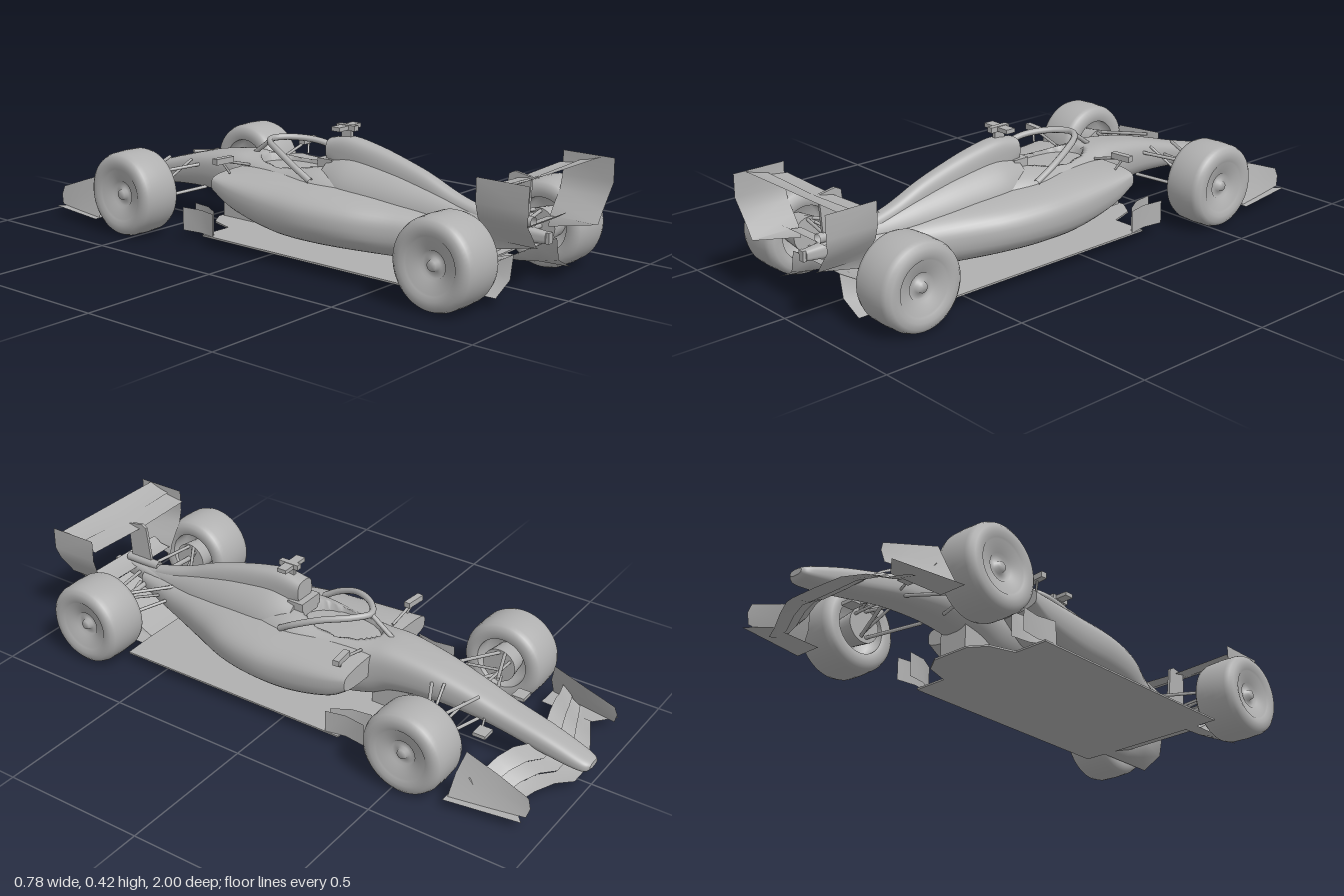
import * as THREE from 'three';

const grey = new THREE.MeshStandardMaterial({ color: 0xb0b0b0, side: THREE.DoubleSide });
grey.name = 'body grey';

const V = (x, y, z) => new THREE.Vector3(x, y, z);
const cubic = (a, b, c, d, t) =>
  0.5 * (2 * b + (c - a) * t + (2 * a - 5 * b + 4 * c - d) * t * t + (3 * b - a - 3 * c + d) * t * t * t);

function add(group, name, geometry, x = 0, y = 0, z = 0) {
  const mesh = new THREE.Mesh(geometry, grey);
  mesh.name = name;
  mesh.position.set(x, y, z);
  group.add(mesh);
  return mesh;
}

const box = (g, name, w, h, d, x, y, z) => add(g, name, new THREE.BoxGeometry(w, h, d), x, y, z);

// Straight bar between two points
function rod(g, name, a, b, r = 0.006) {
  const dir = b.clone().sub(a);
  const m = add(g, name, new THREE.CylinderGeometry(r, r, dir.length(), 8));
  m.position.copy(a).add(b).multiplyScalar(0.5);
  m.quaternion.setFromUnitVectors(V(0, 1, 0), dir.normalize());
  return m;
}

// Smooth hull along z; stations are [z, halfWidth, bottom, top, squareness, lowerWidthRatio]
function loft(stations, steps = 8, rule = null, segs = 48) {
  const rows = [];
  const last = stations.length - 1;
  for (let i = 0; i < last; i++) {
    const q = [Math.max(i - 1, 0), i, i + 1, Math.min(i + 2, last)].map(k => stations[k]);
    for (let s = 0; s < steps + (i === last - 1 ? 1 : 0); s++)
      rows.push(q[0].map((_, f) => cubic(q[0][f], q[1][f], q[2][f], q[3][f], s / steps)));
  }
  const pos = [], idx = [];
  const ring = ([z, w, yb, yt, n, low]) => {
    for (let j = 0; j < segs; j++) {
      const a = j / segs * Math.PI * 2, c = Math.cos(a), s = Math.sin(a);
      const p = V(Math.sign(c) * Math.abs(c) ** (2 / n) * w,
        (yb + yt) / 2 + Math.sign(s) * Math.abs(s) ** (2 / n) * (yt - yb) / 2, z);
      if (s < 0) p.x *= 1 + (low - 1) * -s;
      if (rule) rule(p, s);
      pos.push(p.x, p.y, p.z);
    }
  };
  rows.forEach(ring);
  for (let i = 0; i < rows.length - 1; i++)
    for (let j = 0; j < segs; j++) {
      const a = i * segs + j, b = i * segs + (j + 1) % segs;
      idx.push(a, b, b + segs, a, b + segs, a + segs);
    }
  [rows[0], rows[rows.length - 1]].forEach((r, end) => {
    const base = pos.length / 3;
    ring(r);
    pos.push(0, (r[2] + r[3]) / 2, r[0]);
    for (let j = 0; j < segs; j++) {
      const a = base + j, b = base + (j + 1) % segs;
      idx.push(base + segs, end ? a : b, end ? b : a);
    }
  });
  return surface(pos, idx);
}

function surface(pos, idx) {
  const g = new THREE.BufferGeometry();
  g.setAttribute('position', new THREE.Float32BufferAttribute(pos, 3));
  g.setIndex(idx);
  g.computeVertexNormals();
  return g;
}

// Thin sheet through equal-length rows of points
function sheet(rows) {
  const n = rows[0].length, idx = [];
  for (let i = 0; i < rows.length - 1; i++)
    for (let j = 0; j < n - 1; j++) {
      const a = i * n + j;
      idx.push(a, a + 1, a + n + 1, a, a + n + 1, a + n);
    }
  return surface(rows.flat(2), idx);
}

// Thin horizontal or upright plate cut from a 2D outline
function plate(outline, depth) {
  const shape = new THREE.Shape(outline.map(p => new THREE.Vector2(...p)));
  return new THREE.ExtrudeGeometry(shape, { depth, bevelEnabled: false });
}

// Tyre, dished rim and hub; positive side faces outward
function wheel(g, name, side, x, z, width) {
  const h = width / 2, r = 0.146;
  const outline = [[0.09, -h * 0.9], [0.105, -h * 0.97], [0.125, -h * 0.95], [0.138, -h * 0.82], [0.144, -h * 0.62],
    [r, 0], [0.144, h * 0.62], [0.138, h * 0.82], [0.125, h * 0.95], [0.105, h * 0.97], [0.09, h * 0.9]];
  const rim = [[0.094, -h * 0.9], [0.09, -h * 0.85], [0.084, -h * 0.2], [0.0, -h * 0.15]];
  const cover = [[0, h * 0.8], [0.016, h * 0.8], [0.02, h * 0.62], [0.04, h * 0.6], [0.045, h * 0.72], [0.085, h * 0.85], [0.094, h * 0.9]];
  const w = new THREE.Group();
  w.name = name;
  const lathe = pts => new THREE.LatheGeometry(pts.map(p => new THREE.Vector2(...p)), 56);
  add(w, 'tyre', lathe(outline));
  add(w, 'innerRim', lathe(rim));
  add(w, 'wheelCover', lathe(cover));
  add(w, 'brakeDrum', new THREE.CylinderGeometry(0.05, 0.06, h, 24), 0, -h * 0.6, 0);
  w.rotation.z = -side * Math.PI / 2;
  w.position.set(side * x, 0.148, z);
  g.add(w);
}

export function createModel() {
  const car = new THREE.Group();
  car.name = 'openWheelRacingCar';

  // Nose and tub, with the cockpit hollow pressed into the top
  const cockpit = (p, s) => {
    const e = ((p.z + 0.065) / 0.15) ** 2 + (p.x / 0.075) ** 2;
    if (s > 0 && e < 1) p.y -= 0.13 * Math.min(1, (1 - e) * 3);
  };
  add(car, 'noseAndTub', loft([
    [-1, 0.025, 0.07, 0.09, 2.6, 1], [-0.97, 0.043, 0.055, 0.105, 2.6, 1], [-0.85, 0.052, 0.07, 0.145, 3, 0.9],
    [-0.7, 0.058, 0.1, 0.185, 3, 0.9], [-0.6, 0.065, 0.115, 0.215, 3.2, 0.85], [-0.45, 0.08, 0.12, 0.255, 3.2, 0.75],
    [-0.3, 0.095, 0.1, 0.278, 3.2, 0.7], [-0.2, 0.11, 0.06, 0.275, 3, 0.8], [-0.05, 0.14, 0.04, 0.272, 2.8, 0.9],
    [0.1, 0.15, 0.04, 0.285, 2.6, 1], [0.25, 0.12, 0.04, 0.27, 2.4, 1]], 10, cockpit, 72));

  // Side bodywork, engine cover and spine
  add(car, 'sidepods', loft([
    [-0.235, 0.243, 0.17, 0.245, 4, 1], [-0.15, 0.25, 0.1, 0.25, 3.6, 0.85], [0, 0.255, 0.05, 0.25, 3.2, 0.8],
    [0.15, 0.25, 0.04, 0.245, 3, 0.8], [0.3, 0.215, 0.04, 0.235, 2.8, 0.85], [0.45, 0.145, 0.04, 0.22, 2.6, 0.9],
    [0.6, 0.085, 0.06, 0.205, 2.5, 0.9], [0.78, 0.045, 0.13, 0.2, 2.5, 1]]));
  add(car, 'engineCover', loft([
    [0.1, 0.1, 0.1, 0.31, 2, 1], [0.2, 0.115, 0.1, 0.33, 1.8, 1], [0.35, 0.1, 0.1, 0.31, 1.8, 1],
    [0.5, 0.075, 0.1, 0.275, 1.9, 1], [0.65, 0.045, 0.12, 0.235, 2, 1], [0.78, 0.025, 0.16, 0.215, 2, 1]]));
  add(car, 'airboxAndSpine', loft([
    [0.09, 0.04, 0.29, 0.375, 3, 0.8], [0.17, 0.042, 0.25, 0.387, 3, 1], [0.27, 0.041, 0.22, 0.372, 2.8, 1],
    [0.37, 0.038, 0.2, 0.347, 2.6, 1], [0.48, 0.034, 0.2, 0.312, 2.5, 1], [0.6, 0.03, 0.18, 0.262, 2.5, 1],
    [0.73, 0.025, 0.17, 0.225, 2.5, 1]]));
  box(car, 'headrest', 0.1, 0.05, 0.06, 0, 0.285, 0.095);
  box(car, 'cameraMast', 0.012, 0.05, 0.04, 0, 0.395, 0.15);
  box(car, 'cameraBar', 0.11, 0.014, 0.035, 0, 0.416, 0.145);
  box(car, 'cameraPod', 0.02, 0.018, 0.075, 0, 0.416, 0.15);

  // Cockpit hoop with its centre pillar
  const half = [[0.13, 0.25, 0.1], [0.132, 0.285, 0.04], [0.11, 0.322, -0.05], [0.055, 0.335, -0.14]];
  const hoop = [...half.map(p => V(...p)), V(0, 0.335, -0.175), ...half.map(p => V(-p[0], p[1], p[2])).reverse()];
  add(car, 'cockpitHoop', new THREE.TubeGeometry(new THREE.CatmullRomCurve3(hoop), 64, 0.011, 10));
  rod(car, 'hoopPillar', V(0, 0.335, -0.175), V(0, 0.265, -0.27), 0.008);

  // Floor
  const edge = [[0.07, -0.37], [0.13, -0.33], [0.16, -0.24], [0.285, -0.24], [0.287, 0.64], [0.16, 0.645]];
  const floor = plate([...edge, ...edge.map(p => [-p[0], p[1]]).reverse()], 0.006).rotateX(Math.PI / 2);
  add(car, 'floor', floor, 0, 0.041, 0);
  box(car, 'keel', 0.11, 0.09, 0.14, 0, 0.085, -0.29);

  // Diffuser ramp
  const ramp = [[0.64, 0.035, 0.16], [0.72, 0.06, 0.15], [0.8, 0.105, 0.135], [0.88, 0.15, 0.12]];
  add(car, 'diffuser', sheet(ramp.map(([z, y, x]) => [[-x, y, z], [x, y, z]])));

  // Rear wing planes, dipped slightly in the middle
  const wingPlane = (z0, y0, z1, y1) => sheet([0, 0.25, 0.5, 0.75, 1].map(t =>
    [-0.237, -0.12, 0, 0.12, 0.237].map(x =>
      [x, y0 + (y1 - y0) * t ** 1.4 - 0.008 * (1 - t) * (1 - Math.abs(x) / 0.237), z0 + (z1 - z0) * t])));
  add(car, 'rearWingMainPlane', wingPlane(0.81, 0.358, 0.9, 0.371));
  add(car, 'rearWingFlap', wingPlane(0.88, 0.374, 0.96, 0.396));
  add(car, 'beamWing', sheet([[0.82, 0.2], [0.86, 0.205], [0.89, 0.225]].map(([z, y]) => [[-0.16, y, z], [0.16, y, z]])));
  add(car, 'wingPylon', plate([[-0.76, 0.2], [-0.85, 0.2], [-0.86, 0.36], [-0.8, 0.37], [-0.78, 0.36]], 0.01)
    .rotateY(Math.PI / 2), -0.005, 0, 0);

  // Gearbox, exhaust and rear light
  add(car, 'gearbox', loft([[0.7, 0.04, 0.12, 0.21, 3, 1], [0.8, 0.028, 0.15, 0.21, 3, 1], [0.92, 0.016, 0.165, 0.2, 3, 1]]));
  add(car, 'exhaust', new THREE.CylinderGeometry(0.016, 0.016, 0.14, 20, 1, true).rotateX(Math.PI / 2), 0, 0.222, 0.8);
  box(car, 'rearLight', 0.022, 0.035, 0.012, 0, 0.183, 0.925);

  // Front wing: swept elements rising toward the ends
  const wingSpan = [0, 0.05, 0.12, 0.19, 0.25, 0.31];
  const frontElement = (t0, t1, lift) => s => sheet([0, 0.5, 1].map(k => wingSpan.map(x => {
    const t = t0 + (t1 - t0) * k, u = Math.max(0, x - 0.05) / 0.2;
    const lead = -0.965 + 0.095 * u, trail = -0.8 + 0.05 * u;
    const arch = 0.028 + 0.025 * Math.sin(Math.min(u, 1) * Math.PI);
    return [s * x, arch + t * t * 0.065 + lift, lead + (trail - lead) * t];
  })));
  const elements = [frontElement(0, 0.4, 0), frontElement(0.37, 0.7, 0.006), frontElement(0.67, 1, 0.012)];

  for (const s of [-1, 1]) {
    const P = (x, y, z) => V(s * x, y, z);
    wheel(car, 'frontWheel', s, 0.313, -0.535, 0.158);
    wheel(car, 'rearWheel', s, 0.298, 0.76, 0.17);

    elements.forEach((e, i) => add(car, 'frontWingElement' + (i + 1), e(s)));
    add(car, 'frontEndplate', sheet([
      [[s * 0.3, 0.035, -0.93], [s * 0.325, 0.035, -0.8], [s * 0.345, 0.035, -0.685]],
      [[s * 0.295, 0.07, -0.94], [s * 0.3, 0.09, -0.82], [s * 0.31, 0.105, -0.69]],
      [[s * 0.29, 0.1, -0.93], [s * 0.285, 0.14, -0.82], [s * 0.285, 0.178, -0.71]]]));
    add(car, 'frontFootplate', sheet([
      [[s * 0.26, 0.035, -0.87], [s * 0.27, 0.035, -0.68]], [[s * 0.33, 0.035, -0.93], [s * 0.368, 0.035, -0.68]]]));
    add(car, 'noseFin', new THREE.BoxGeometry(0.05, 0.012, 0.045), s * 0.125, 0.14, -0.675);
    rod(car, 'noseFinStalk', P(0.05, 0.14, -0.64), P(0.125, 0.14, -0.67), 0.004);

    // Rear wing end panels, curling inward at the foot
    const curl = [[0.237, 0.397, 0.82], [0.238, 0.32, 0.82], [0.225, 0.275, 0.82], [0.195, 0.235, 0.82], [0.172, 0.2, 0.82], [0.165, 0.165, 0.82]];
    add(car, 'rearEndplate', sheet(curl.map(([x, y, z], i) => [[s * x, y, z], [s * x, Math.max(y, 0.2), i > 1 ? 0.99 : 1]])));

    // Diffuser side wall and curved floor flick
    add(car, 'diffuserWall', sheet(ramp.map(([z, y, x]) =>
      [[s * x, y, z], [s * (x + 0.015), Math.max(0.036, y * 0.5), z], [s * 0.21, 0.036, z]])));

    // Floor fences
    add(car, 'floorFence', sheet([[0.27, -0.2], [0.235, -0.26], [0.225, -0.33]].map(([x, z]) =>
      [[s * x, 0.04, z], [s * x, 0.125, z]])));
    add(car, 'outerFence', sheet([[0.285, -0.19], [0.27, -0.26], [0.28, -0.335]].map(([x, z]) =>
      [[s * x, 0.04, z], [s * x, 0.12, z]])));

    // Mirrors
    add(car, 'mirror', new THREE.BoxGeometry(0.075, 0.02, 0.022), s * 0.215, 0.289, -0.205).rotation.y = s * 0.1;
    rod(car, 'mirrorStalk', P(0.095, 0.255, -0.2), P(0.2, 0.283, -0.205), 0.005);
    rod(car, 'mirrorBrace', P(0.2, 0.245, -0.19), P(0.22, 0.283, -0.205), 0.004);

    // Suspension arms
    for (const z of [-0.62, -0.45]) {
      rod(car, 'frontUpperArm', P(0.06, 0.215, z), P(0.25, 0.195, -0.545));
      rod(car, 'frontLowerArm', P(0.05, 0.13, z), P(0.25, 0.105, -0.535));
    }
    rod(car, 'frontPushrod', P(0.07, 0.225, -0.5), P(0.25, 0.115, -0.535), 0.005);
    rod(car, 'steeringArm', P(0.06, 0.18, -0.575), P(0.25, 0.175, -0.575), 0.005);
    for (const z of [0.62, 0.8]) {
      rod(car, 'rearUpperArm', P(0.03, 0.19, z), P(0.23, 0.2, 0.76));
      rod(car, 'rearLowerArm', P(0.03, 0.15, z), P(0.23, 0.1, 0.76));
    }
    rod(car, 'rearPullrod', P(0.04, 0.14, 0.68), P(0.23, 0.19, 0.745), 0.005);
    rod(car, 'driveShaft', P(0.03, 0.16, 0.765), P(0.23, 0.148, 0.765), 0.009);
  }
  return car;
}
